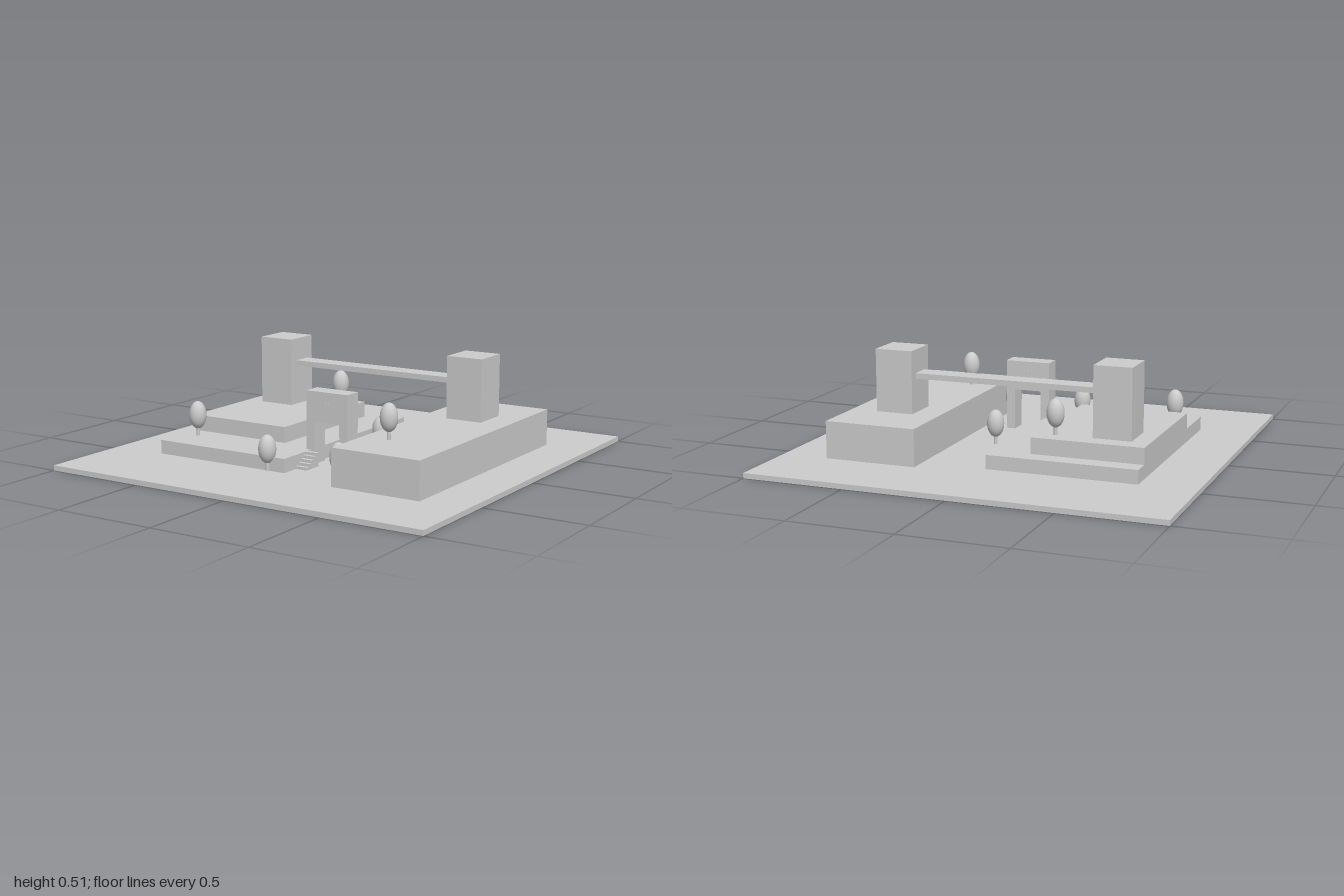
import * as THREE from 'three';

const material = new THREE.MeshStandardMaterial({ color: 0xcccccc });

// Box given by its minimum and maximum corners
function block(parent, name, [x0, y0, z0], [x1, y1, z1]) {
  const mesh = new THREE.Mesh(new THREE.BoxGeometry(x1 - x0, y1 - y0, z1 - z0), material);
  mesh.position.set((x0 + x1) / 2, (y0 + y1) / 2, (z0 + z1) / 2);
  mesh.name = name;
  parent.add(mesh);
  return mesh;
}

function group(parent, name) {
  const g = new THREE.Group();
  g.name = name;
  parent.add(g);
  return g;
}

export function createModel() {
  const model = new THREE.Group();
  model.name = 'terracedCourt';
  const floor = 0.025, low = 0.092, mid = 0.17, high = 0.205;

  // Ground and raised platforms
  block(model, 'ground', [-1, 0, -1], [1, floor, 1]);
  block(model, 'lowerTerrace', [-0.727, floor, -0.545], [0, low, 0.54]);
  block(model, 'upperTerrace', [-0.727, low, -0.455], [-0.185, mid, 0.27]);
  block(model, 'leftPlatform', [0.318, floor, -0.635], [0.77, high, 0.632]);

  // Towers joined by a bridge
  block(model, 'rightTower', [-0.64, mid, -0.367], [-0.455, 0.51, -0.18]);
  block(model, 'leftTower', [0.45, high, -0.367], [0.637, 0.51, -0.18]);
  block(model, 'bridge', [-0.455, 0.37, -0.325], [0.45, 0.397, -0.225]);

  // Gate on two posts, with small fittings on both faces
  const gate = group(model, 'gate');
  block(gate, 'gateLintel', [-0.025, 0.228, 0.228], [0.203, 0.375, 0.318]);
  block(gate, 'gatePostRight', [-0.025, floor, 0.228], [0.02, 0.228, 0.318]);
  block(gate, 'gatePostLeft', [0.158, floor, 0.228], [0.203, 0.228, 0.318]);
  for (const z of [0.223, 0.318]) {
    for (const x of [0.08, 0.094]) {
      block(gate, 'gateFitting', [x, 0.307, z], [x + 0.007, 0.327, z + 0.006]);
    }
  }

  // Stairs descending towards the front
  const stairs = group(model, 'stairs');
  const steps = 5, rise = (low - floor) / steps;
  for (let i = 0; i < steps; i++) {
    const z = 0.345 + i * 0.02;
    block(stairs, 'step', [0, floor, z], [0.06, low - i * rise, z + 0.02]);
  }

  // Trees: slim trunk and egg-shaped crown
  const trunk = new THREE.CylinderGeometry(0.008, 0.009, 0.06, 12);
  const crown = new THREE.SphereGeometry(1, 28, 18);
  const trees = [
    [-0.64, low, 0.36], [-0.275, mid, -0.367], [-0.095, floor, 0.54],
    [0.133, floor, -0.095], [0.27, floor, 0.497], [0.452, high, 0.36],
  ];
  for (const [x, y, z] of trees) {
    const tree = group(model, 'tree');
    tree.position.set(x, y, z);
    const t = new THREE.Mesh(trunk, material);
    t.name = 'trunk';
    t.position.y = 0.03;
    const c = new THREE.Mesh(crown, material);
    c.name = 'crown';
    c.scale.set(0.042, 0.068, 0.042);
    c.position.y = 0.103;
    tree.add(t, c);
  }
  return model;
}
